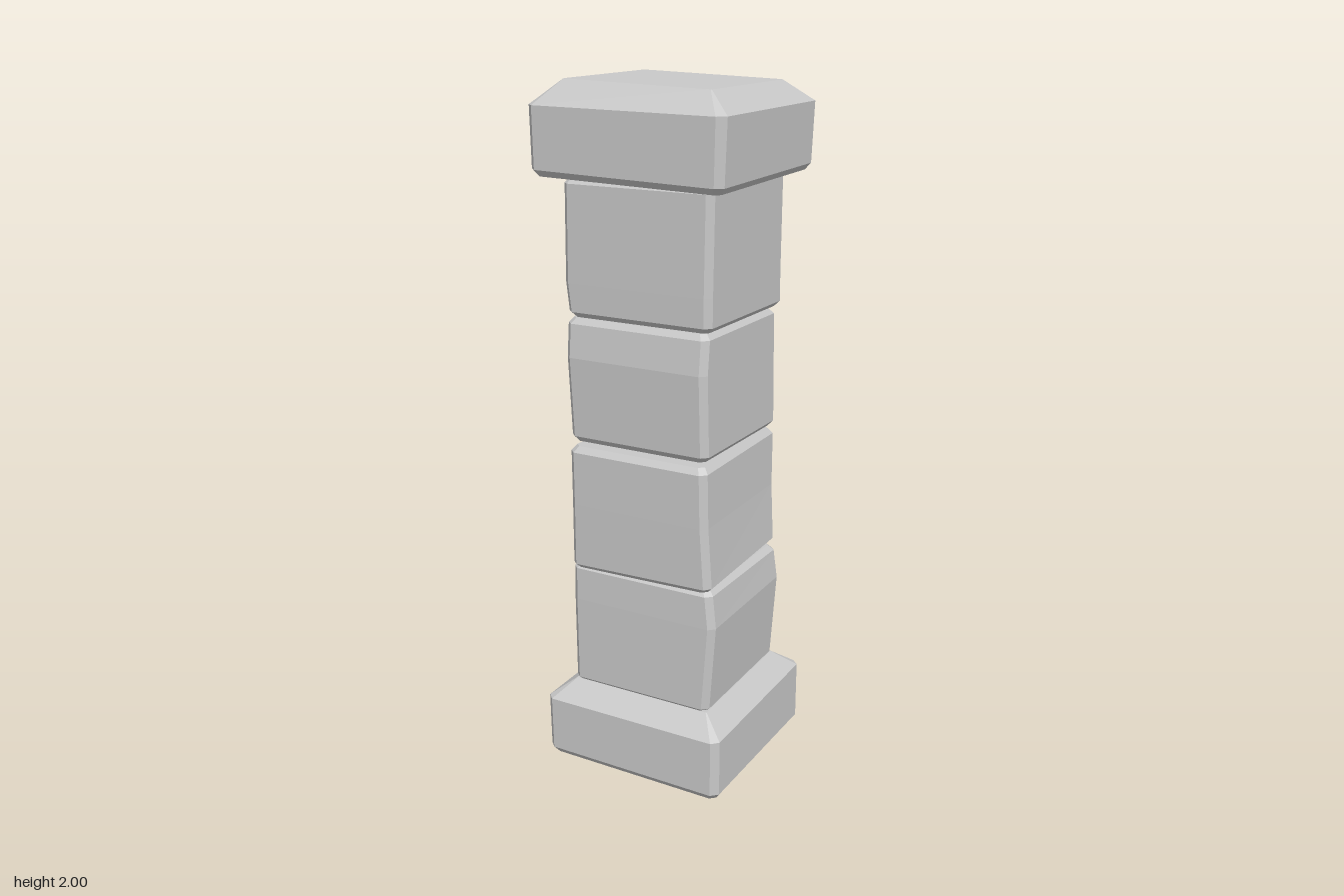
import * as THREE from 'three';

// Chamfered stone lofted through octagonal rings, bottom to top.
// Each row: [y, xMin, xMax, zMin, zMax, cornerCut, tiltX, tiltZ]
function stoneGeometry(rows) {
  const rings = rows.map(([y, x0, x1, z0, z1, c, tx = 0, tz = 0]) =>
    [[x1 - c, z1], [x1, z1 - c], [x1, z0 + c], [x1 - c, z0],
     [x0 + c, z0], [x0, z0 + c], [x0, z1 - c], [x0 + c, z1]]
      .map(([x, z]) => [x, y + tx * x + tz * z, z]));
  const pos = [];
  const tri = (a, b, c) => pos.push(...a, ...b, ...c);
  for (let r = 0; r < rings.length - 1; r++) {
    for (let i = 0; i < 8; i++) {
      const j = (i + 1) % 8, lo = rings[r], hi = rings[r + 1];
      tri(lo[i], lo[j], hi[j]);
      tri(lo[i], hi[j], hi[i]);
    }
  }
  const bottom = rings[0], top = rings[rings.length - 1];
  for (let i = 1; i < 7; i++) {
    tri(bottom[0], bottom[i + 1], bottom[i]);
    tri(top[0], top[i], top[i + 1]);
  }
  const g = new THREE.BufferGeometry();
  g.setAttribute('position', new THREE.Float32BufferAttribute(pos, 3));
  g.computeVertexNormals();
  return g;
}

const STONES = {
  base: [
    [0.008, -0.268, 0.272, -0.268, 0.268, 0.015, -0.01, 0.015],
    [0.030, -0.282, 0.288, -0.285, 0.286, 0.02, -0.01, 0.015],
    [0.200, -0.285, 0.288, -0.285, 0.286, 0.02],
    [0.255, -0.215, 0.222, -0.212, 0.222, 0.002],
  ],
  lowerBlock: [
    [0.250, -0.205, 0.210, -0.196, 0.215, 0.014],
    [0.264, -0.219, 0.226, -0.211, 0.229, 0.018],
    [0.520, -0.220, 0.245, -0.209, 0.230, 0.018],
    [0.612, -0.220, 0.234, -0.206, 0.228, 0.018, 0, 0.02],
    [0.628, -0.205, 0.218, -0.192, 0.213, 0.014, 0, 0.02],
  ],
  lowerMiddleBlock: [
    [0.627, -0.203, 0.218, -0.184, 0.222, 0.014, 0.02, -0.02],
    [0.642, -0.217, 0.234, -0.197, 0.236, 0.018, 0.02, -0.02],
    [0.820, -0.214, 0.224, -0.201, 0.240, 0.018],
    [0.977, -0.214, 0.221, -0.208, 0.241, 0.018],
    [0.994, -0.200, 0.207, -0.194, 0.226, 0.014],
  ],
  upperMiddleBlock: [
    [1.000, -0.205, 0.202, -0.205, 0.212, 0.014, 0, 0.02],
    [1.016, -0.219, 0.216, -0.220, 0.224, 0.018, 0, 0.02],
    [1.250, -0.224, 0.215, -0.214, 0.233, 0.018],
    [1.340, -0.225, 0.215, -0.210, 0.222, 0.018, 0, 0.02],
    [1.356, -0.211, 0.201, -0.196, 0.208, 0.014, 0, 0.02],
  ],
  upperBlock: [
    [1.360, -0.202, 0.212, -0.211, 0.215, 0.014, 0, 0.02],
    [1.375, -0.216, 0.226, -0.224, 0.229, 0.018, 0, 0.02],
    [1.460, -0.225, 0.227, -0.221, 0.230, 0.018],
    [1.728, -0.222, 0.231, -0.215, 0.230, 0.018],
    [1.745, -0.208, 0.217, -0.201, 0.216, 0.014],
  ],
  capstone: [
    [1.744, -0.276, 0.270, -0.270, 0.270, 0.015, -0.025, -0.01],
    [1.762, -0.290, 0.283, -0.288, 0.284, 0.02, -0.025, -0.01],
    [1.930, -0.293, 0.290, -0.290, 0.287, 0.022, -0.01],
    [1.992, -0.214, 0.221, -0.202, 0.219, 0.002, -0.03, 0],
  ],
};

export function createModel() {
  const stone = new THREE.MeshStandardMaterial({ color: 0xc8c8c8, flatShading: true });
  stone.name = 'greyStone';
  const pillar = new THREE.Group();
  pillar.name = 'stonePillar';
  for (const [name, rows] of Object.entries(STONES)) {
    const mesh = new THREE.Mesh(stoneGeometry(rows), stone);
    mesh.name = name;
    pillar.add(mesh);
  }
  return pillar;
}
